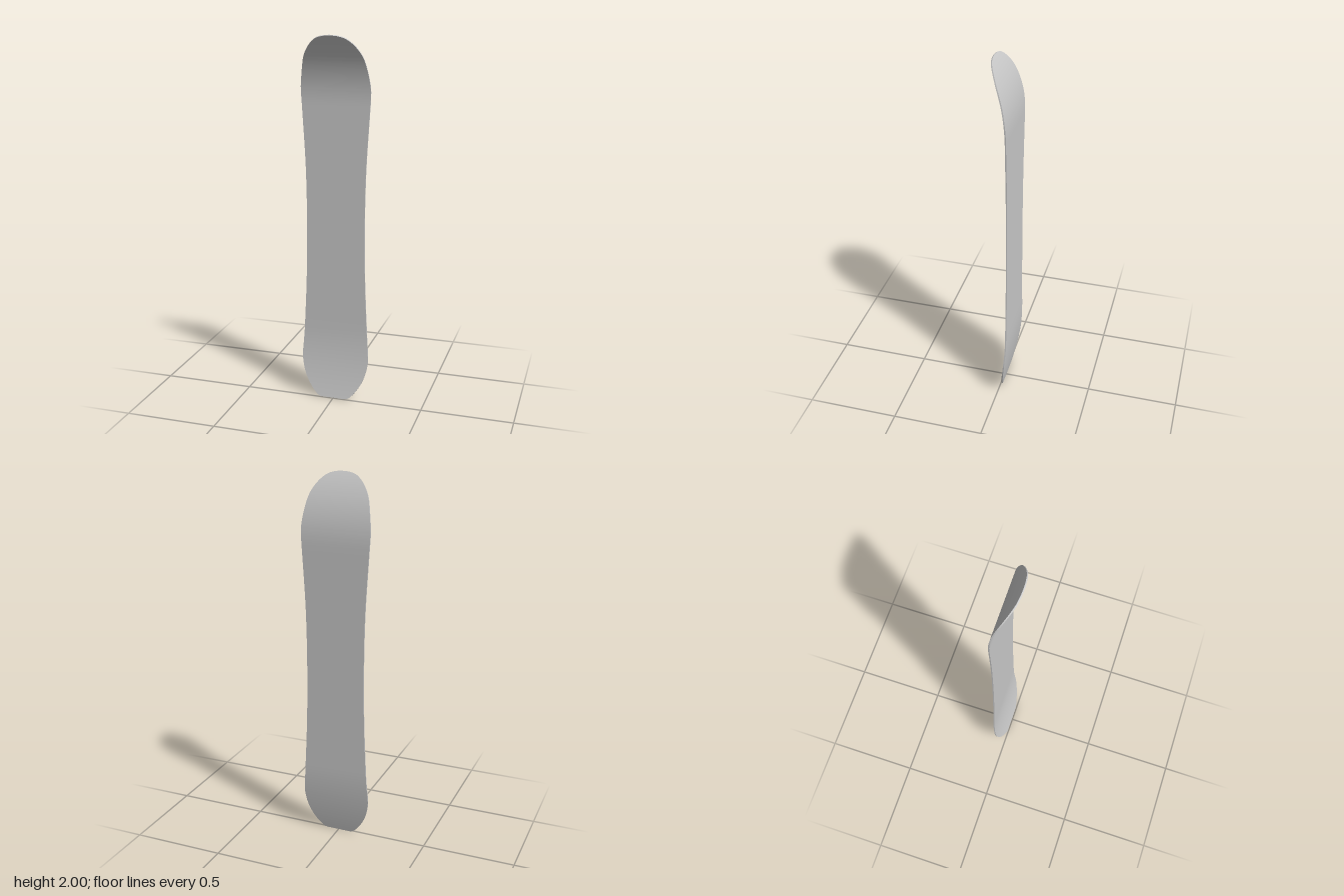
import * as THREE from 'three';
import { toCreasedNormals } from 'three/addons/utils/BufferGeometryUtils.js';

const HALF_THICKNESS = 0.0033;

// Half outline of the board: [half width, height], tail to nose
const OUTLINE = [
  [0.07, 0.002], [0.092, 0.012], [0.125, 0.048], [0.157, 0.1], [0.177, 0.155], [0.187, 0.21],
  [0.188, 0.25], [0.178, 0.4], [0.165, 0.7], [0.161, 1.0], [0.166, 1.3], [0.183, 1.6],
  [0.188, 1.69], [0.186, 1.75], [0.169, 1.85], [0.15, 1.905], [0.117, 1.952],
  [0.08, 1.982], [0.04, 1.995], [0.006, 1.998],
];

// Side profile: flat middle, long upturned nose, short upturned tail
function profile(y) {
  const nose = Math.max(0, (y - 1.62) / 0.38);
  const tail = Math.max(0, (0.4 - y) / 0.4);
  return -0.0535 + 0.107 * nose ** 2.3 + 0.047 * tail ** 1.9;
}

// Rectangular cross-sections swept from tail to nose, square to the profile
function boardGeometry(steps) {
  const curve = new THREE.SplineCurve(OUTLINE.map(([w, y]) => new THREE.Vector2(w, y)));
  const positions = [];
  const index = [];
  for (let i = 0; i <= steps; i++) {
    const { x: w, y } = curve.getPoint(i / steps);
    const slope = (profile(y + 0.001) - profile(y - 0.001)) / 0.002;
    const length = Math.hypot(1, slope);
    const dy = (-slope / length) * HALF_THICKNESS;
    const dz = HALF_THICKNESS / length;
    const z = profile(y);
    // Corners anticlockwise seen from above
    positions.push(
      -w, y + dy, z + dz, w, y + dy, z + dz,
      w, y - dy, z - dz, -w, y - dy, z - dz,
    );
    if (i === 0) continue;
    const a = (i - 1) * 4;
    for (let k = 0; k < 4; k++) {
      const n = (k + 1) % 4;
      index.push(a + k, a + n, a + 4 + n, a + k, a + 4 + n, a + 4 + k);
    }
  }
  // Tail and nose end caps
  const e = steps * 4;
  index.push(0, 2, 1, 0, 3, 2, e, e + 1, e + 2, e, e + 2, e + 3);

  const geometry = new THREE.BufferGeometry();
  geometry.setAttribute('position', new THREE.Float32BufferAttribute(positions, 3));
  geometry.setIndex(index);
  return toCreasedNormals(geometry, Math.PI / 5);
}

export function createModel() {
  const group = new THREE.Group();
  group.name = 'snowboard';
  const board = new THREE.Mesh(
    boardGeometry(114),
    new THREE.MeshStandardMaterial({ color: 0xcccccc }),
  );
  board.name = 'board';
  group.add(board);
  return group;
}
